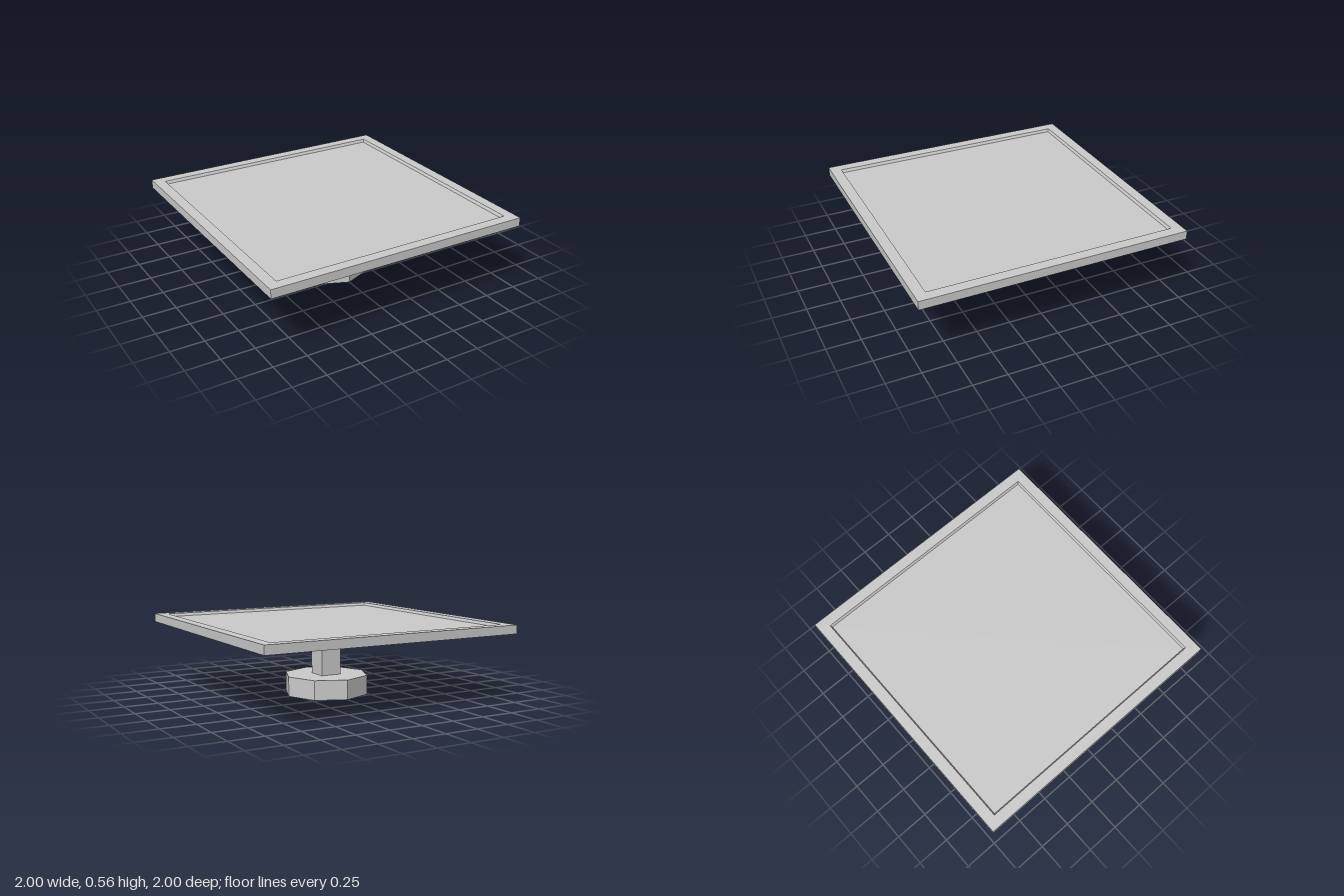
import * as THREE from 'three';

const material = new THREE.MeshStandardMaterial({ color: 0xcccccc, flatShading: true });

// Square rings [half width, y], joined in order from the underside to the recessed floor
function squareLoft(rings) {
  const corners = [[-1, 1], [1, 1], [1, -1], [-1, -1]];
  const pos = rings.flatMap(([h, y]) => corners.flatMap(([x, z]) => [x * h, y, z * h]));
  const index = [0, 2, 1, 0, 3, 2];
  for (let r = 0; r < rings.length - 1; r++) {
    for (let i = 0; i < 4; i++) {
      const a = r * 4 + i, b = r * 4 + (i + 1) % 4;
      index.push(a, b, b + 4, a, b + 4, a + 4);
    }
  }
  const t = (rings.length - 1) * 4;
  index.push(t, t + 1, t + 2, t, t + 2, t + 3);
  const geometry = new THREE.BufferGeometry();
  geometry.setAttribute('position', new THREE.Float32BufferAttribute(pos, 3));
  geometry.setIndex(index);
  const flat = geometry.toNonIndexed();
  flat.computeVertexNormals();
  return flat;
}

export function createModel() {
  const group = new THREE.Group();
  const add = (name, geometry, y = 0) => {
    const mesh = new THREE.Mesh(geometry, material);
    mesh.name = name;
    mesh.position.y = y;
    group.add(mesh);
  };

  // Octagonal foot with corners on the axes
  add('foot', new THREE.CylinderGeometry(0.32, 0.32, 0.147, 8), 0.0735);

  // Square post
  add('post', new THREE.BoxGeometry(0.16, 0.355, 0.16), 0.3235);

  // Thin square top with a raised rim around a shallow recess
  add('tabletop', squareLoft([[1, 0.5], [1, 0.565], [0.92, 0.565], [0.91, 0.543]]));

  return group;
}
